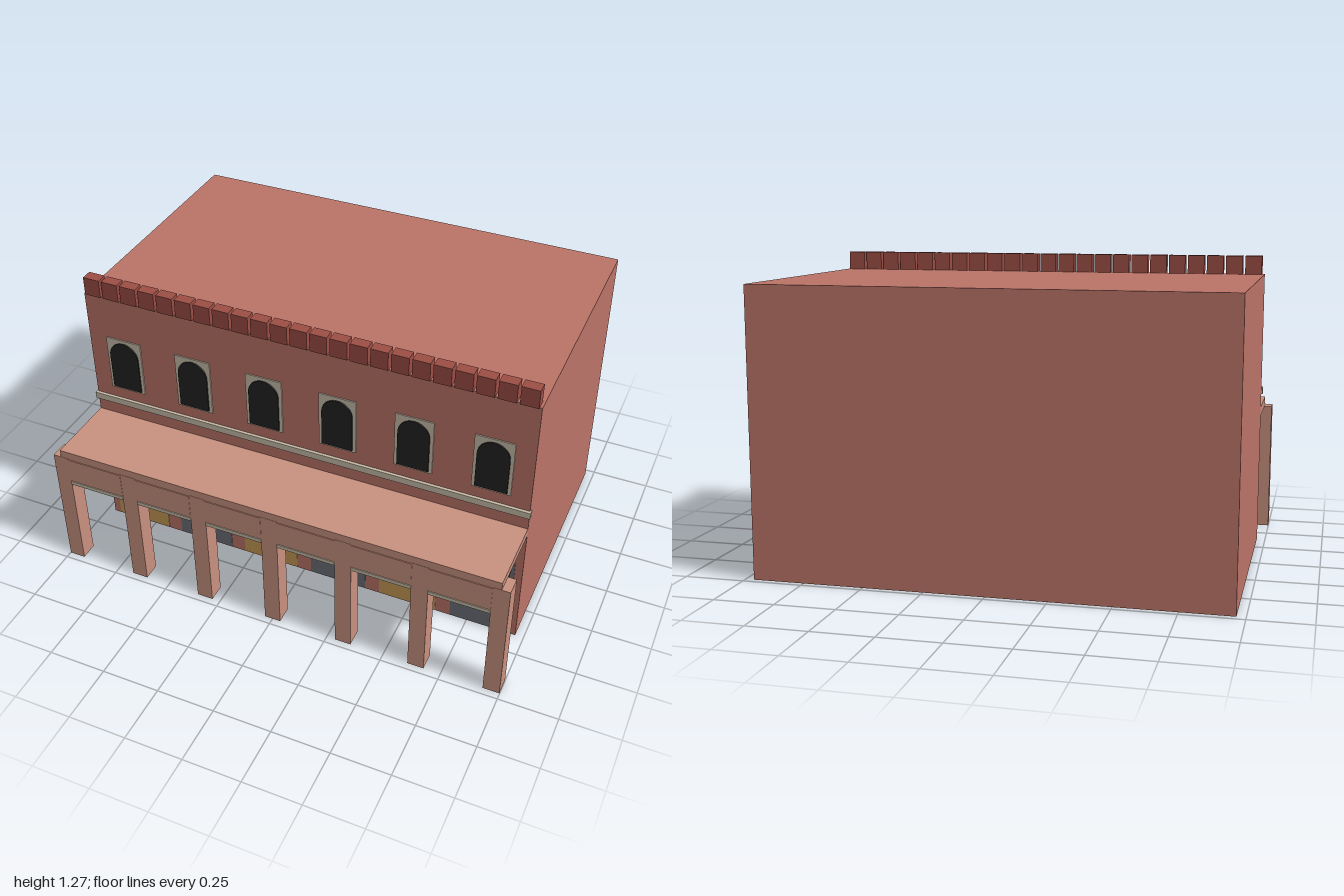
import * as THREE from 'three';

const mat = (name, color, side = THREE.FrontSide) => {
  const m = new THREE.MeshStandardMaterial({ color, side });
  m.name = name;
  return m;
};

export function createModel() {
  const root = new THREE.Group();
  root.name = 'arcadeBuilding';

  const wall = mat('brickRed', 0xbb7468);
  const brick = mat('darkBrick', 0x9c4e45);
  const stone = mat('terracotta', 0xc9917f);
  const cream = mat('creamTrim', 0xc9bda9);
  const glass = mat('darkGlass', 0x222222);
  const ochre = mat('ochreDoor', 0xc79a55);
  const grey = mat('greyDoor', 0x6b6f76);
  const green = mat('greenAwning', 0x2f5045);

  const add = (name, geometry, material, x = 0, y = 0, z = 0) => {
    const mesh = new THREE.Mesh(geometry, material);
    mesh.name = name;
    mesh.position.set(x, y, z);
    root.add(mesh);
    return mesh;
  };
  // Box given by its min and max corners
  const box = (name, material, [x0, y0, z0], [x1, y1, z1]) =>
    add(name, new THREE.BoxGeometry(x1 - x0, y1 - y0, z1 - z0), material,
      (x0 + x1) / 2, (y0 + y1) / 2, (z0 + z1) / 2);

  const FRONT = 0.4;
  const BAY = 0.3213;

  // Main block and string course
  box('mainBlock', wall, [-0.964, 0, -0.724], [0.964, 1.19, FRONT]);
  box('stringCourse', cream, [-0.97, 0.662, FRONT - 0.01], [0.97, 0.692, FRONT + 0.013]);

  // Row of parapet blocks
  for (let i = 0; i < 23; i++) {
    const x = (i - 11) * 0.0834;
    box('parapetBlock', brick, [x - 0.036, 1.19, 0.362], [x + 0.036, 1.27, 0.409]);
  }

  // Arcade roof and pillars
  box('arcadeRoof', stone, [-0.964, 0.562, FRONT], [0.964, 0.6, 0.719]);
  for (let i = 0; i < 7; i++) {
    const x = (i - 3) * BAY;
    box('pillar', stone, [x - 0.035, 0, 0.645], [x + 0.035, 0.566, 0.72]);
  }

  // Arched window outline
  const r = 0.066;
  const arch = new THREE.Shape();
  arch.moveTo(-r, 0.755);
  arch.lineTo(r, 0.755);
  arch.lineTo(r, 0.917);
  arch.absarc(0, 0.917, r, 0, Math.PI, false);
  arch.closePath();
  const archGeo = new THREE.ExtrudeGeometry(arch, { depth: 0.006, bevelEnabled: false, curveSegments: 10 });

  // Each bay: lintel beam, trim, door, awning and upper window
  for (let i = 0; i < 6; i++) {
    const x = (i - 2.5) * BAY;
    const h = 0.126;
    box('lintelBeam', stone, [x - h, 0.445, 0.66], [x + h, 0.561, 0.7215]);
    box('lintelTrim', cream, [x - h, 0.43, 0.66], [x + h, 0.447, 0.7245]);
    box('door', i % 2 ? grey : ochre, [x - 0.128, 0.005, FRONT - 0.004], [x + 0.128, 0.4, FRONT + 0.003]);

    const awning = add('awning', new THREE.BoxGeometry(0.256, 0.008, 0.146), green, x, 0.412, 0.471);
    awning.rotation.x = 0.34;

    box('windowFrame', cream, [x - 0.08, 0.745, FRONT - 0.004], [x + 0.08, 0.997, FRONT + 0.005]);
    add('archedWindow', archGeo, glass, x, 0, FRONT + 0.005);
  }

  return root;
}
